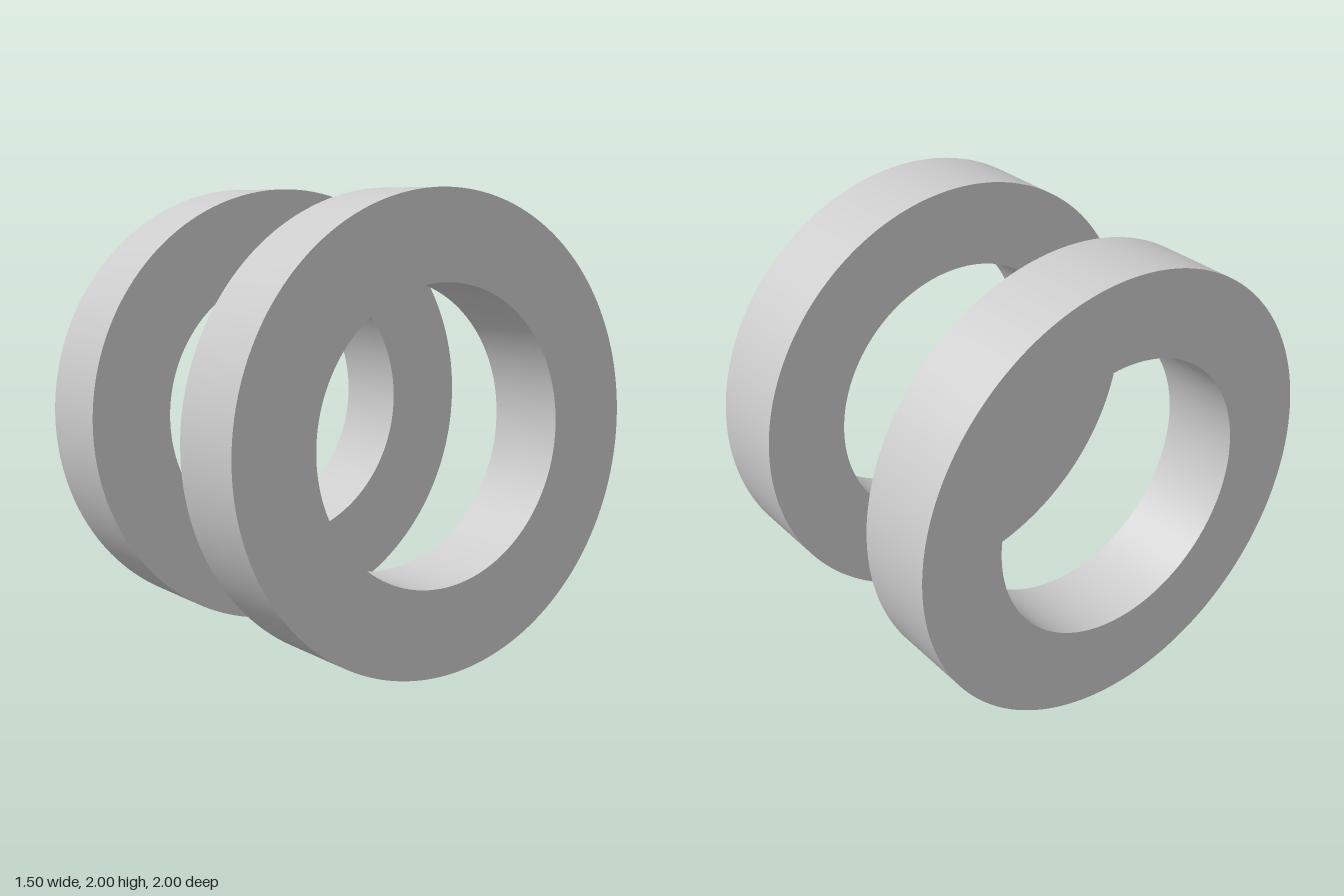
import * as THREE from 'three';
import { toCreasedNormals } from 'three/addons/utils/BufferGeometryUtils.js';

const OUTER = 1, INNER = 0.625, WIDTH = 0.375, OFFSET = 0.5625;

// Flat-sided ring with its axis along x, centred on the origin
function ringGeometry() {
  const shape = new THREE.Shape().absarc(0, 0, OUTER, 0, Math.PI * 2, false);
  shape.holes.push(new THREE.Path().absarc(0, 0, INNER, 0, Math.PI * 2, true));
  const geometry = new THREE.ExtrudeGeometry(shape, {
    depth: WIDTH, bevelEnabled: false, curveSegments: 128,
  });
  geometry.translate(0, 0, -WIDTH / 2).rotateY(Math.PI / 2);
  return toCreasedNormals(geometry, Math.PI / 6);
}

export function createModel() {
  const model = new THREE.Group();
  model.name = 'ringPair';
  const material = new THREE.MeshStandardMaterial({ color: 0xcccccc });
  const geometry = ringGeometry();

  // Two matching rings, mirrored across the centre
  for (const [name, side] of [['leftRing', 1], ['rightRing', -1]]) {
    const ring = new THREE.Mesh(geometry, material);
    ring.name = name;
    ring.position.set(side * OFFSET, OUTER, 0);
    model.add(ring);
  }
  return model;
}
